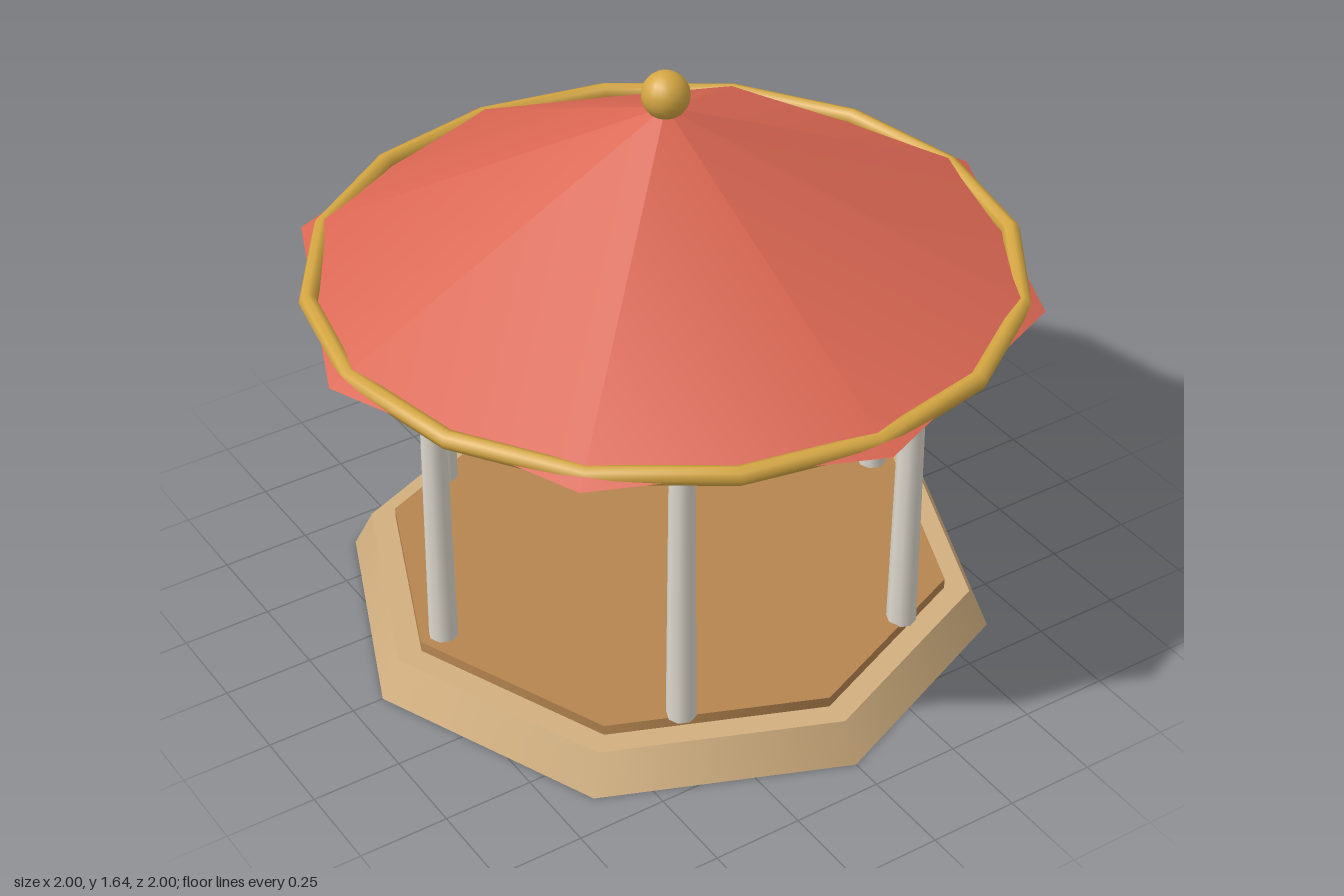
import * as THREE from 'three';

const mat = (name, color) => {
  const m = new THREE.MeshStandardMaterial({ color });
  m.name = name;
  return m;
};

export function createModel() {
  const stone = mat('sandstone', 0xd2b080);
  const wood = mat('wood floor', 0xb58550);
  const white = mat('pale column', 0xded9ce);
  const pearl = mat('pale lamp', 0xdedad4);
  const red = mat('red roof', 0xdb6753);
  const gold = mat('gold trim', 0xd4a642);

  const model = new THREE.Group();
  model.name = 'pavilion';
  const add = (name, geometry, material, x, y, z, parent = model) => {
    const mesh = new THREE.Mesh(geometry, material);
    mesh.name = name;
    mesh.position.set(x, y, z);
    parent.add(mesh);
    return mesh;
  };

  // Octagonal plinth and floor
  add('plinth', new THREE.CylinderGeometry(0.855, 0.91, 0.11, 8), stone, 0, 0.055, 0);
  add('floor', new THREE.CylinderGeometry(0.785, 0.785, 0.03, 8), wood, 0, 0.125, 0);

  // Six tapered columns, each with a gold collar
  const shaft = new THREE.CylinderGeometry(0.033, 0.041, 0.92, 8);
  const collar = new THREE.TorusGeometry(0.033, 0.012, 6, 12).rotateX(Math.PI / 2);
  for (let i = 0; i < 6; i++) {
    const a = (i * Math.PI) / 3;
    const column = new THREE.Group();
    column.name = 'column' + (i + 1);
    column.position.set(0.715 * Math.cos(a), 0, 0.715 * Math.sin(a));
    model.add(column);
    add('shaft', shaft, white, 0, 0.595, 0, column);
    add('collar', collar, gold, 0, 1.033, 0, column);
  }

  // Eight-sided roof with a sixteen-sided rim
  add('roof', new THREE.ConeGeometry(1, 0.49, 8), red, 0, 1.3, 0);
  add('roofRim', new THREE.TorusGeometry(0.94, 0.025, 8, 16).rotateX(Math.PI / 2), gold, 0, 1.065, 0);

  // Finial and hanging lamp
  add('finial', new THREE.SphereGeometry(0.064, 16, 12), gold, 0, 1.58, 0);
  add('lamp', new THREE.SphereGeometry(0.075, 16, 12), pearl, 0, 0.975, 0);

  return model;
}
